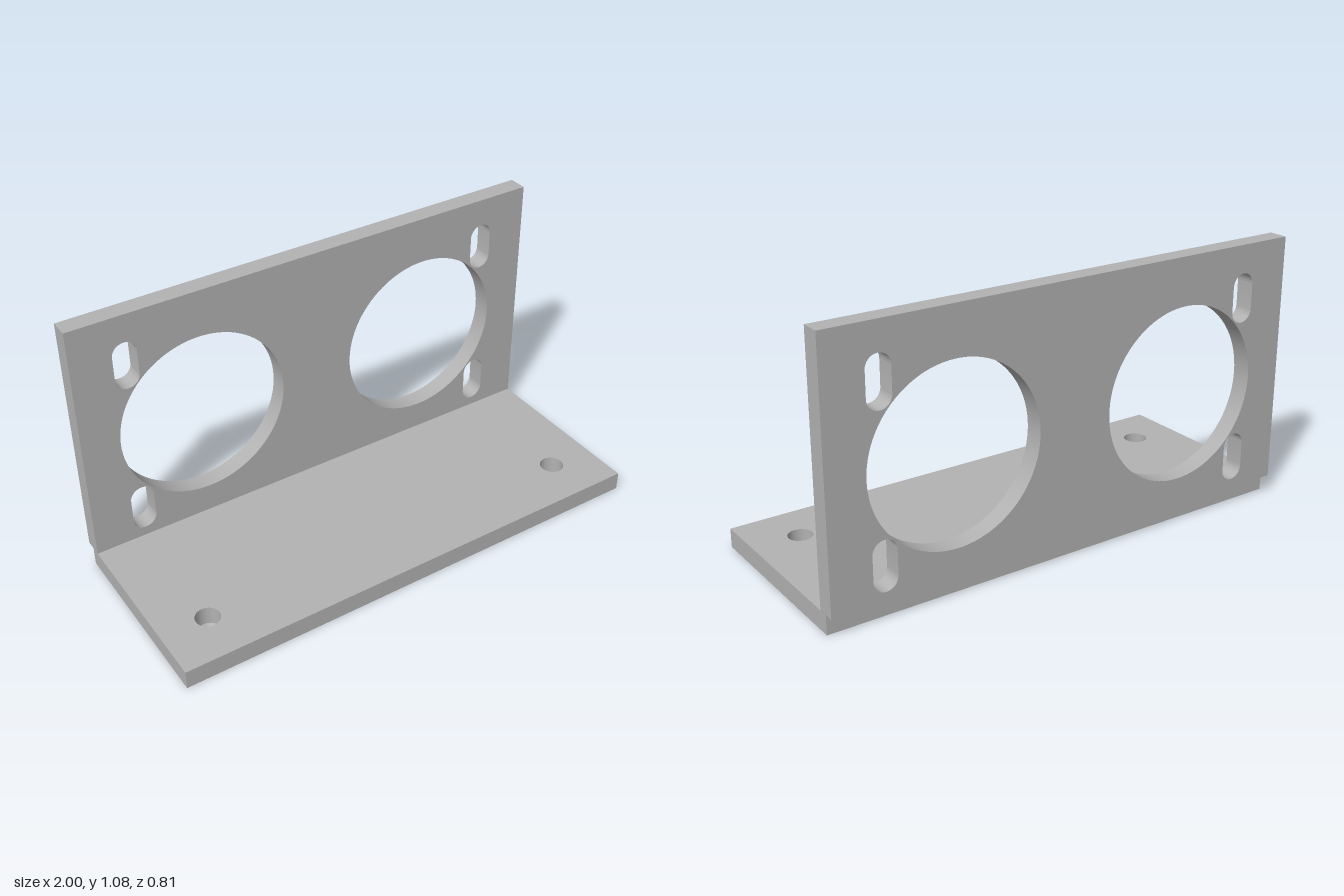
import * as THREE from 'three';
import { toCreasedNormals } from 'three/addons/utils/BufferGeometryUtils.js';

const THICK = 0.077;

function rectangle(x0, y0, x1, y1) {
  return new THREE.Shape([
    new THREE.Vector2(x0, y0), new THREE.Vector2(x1, y0),
    new THREE.Vector2(x1, y1), new THREE.Vector2(x0, y1),
  ]);
}

function roundHole(x, y, r) {
  return new THREE.Path().absarc(x, y, r, 0, Math.PI * 2, true);
}

// Upright slot with round ends; y0 and y1 are the centres of the ends
function slotHole(x, y0, y1, r) {
  const path = new THREE.Path();
  path.absarc(x, y1, r, 0, Math.PI, false);
  path.absarc(x, y0, r, Math.PI, Math.PI * 2, false);
  path.closePath();
  return path;
}

function plate(shape) {
  const geometry = new THREE.ExtrudeGeometry(shape, {
    depth: THICK, bevelEnabled: false, curveSegments: 48,
  });
  return toCreasedNormals(geometry, Math.PI / 6);
}

export function createModel() {
  const group = new THREE.Group();
  group.name = 'sensorBracket';
  const metal = new THREE.MeshStandardMaterial({ color: 0xb2b2b2 });
  metal.name = 'grey metal';

  // Upright plate: two large openings and four adjustment slots
  const wallShape = rectangle(-1, THICK, 1, 1.077);
  // Foot plate: two screw holes (shape y becomes -z)
  const footShape = rectangle(-1, -0.404, 1, 0.365);

  for (const side of [-1, 1]) {
    wallShape.holes.push(
      roundHole(side * 0.501, 0.54, 0.347),
      slotHole(side * 0.79, 0.163, 0.262, 0.048),
      slotHole(side * 0.79, 0.818, 0.917, 0.048),
    );
    footShape.holes.push(roundHole(side * 0.808, -0.207, 0.048));
  }

  const wall = new THREE.Mesh(plate(wallShape), metal);
  wall.name = 'uprightPlate';
  wall.position.z = -0.404;

  const foot = new THREE.Mesh(plate(footShape), metal);
  foot.name = 'footPlate';
  foot.rotation.x = -Math.PI / 2;

  group.add(wall, foot);
  return group;
}
